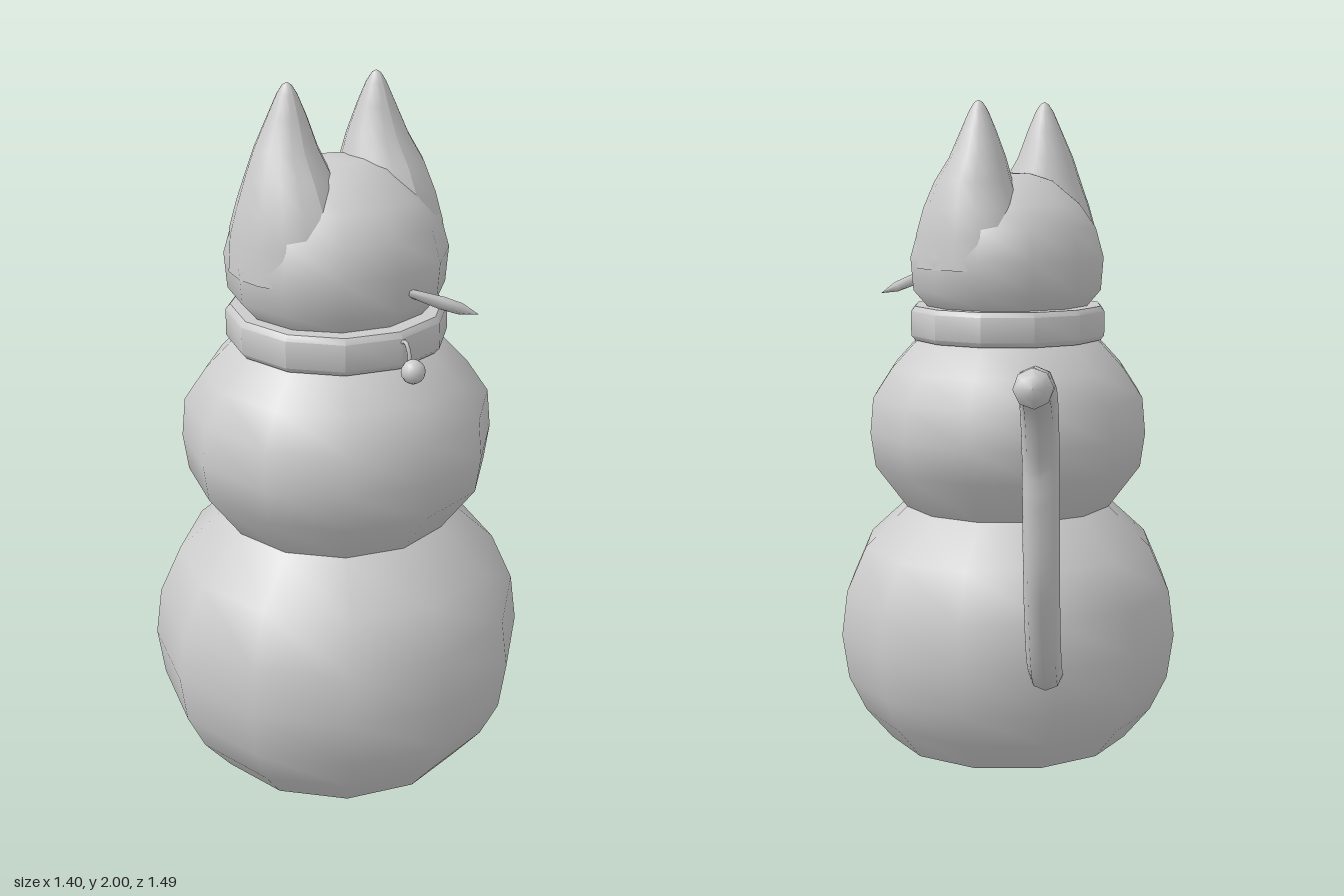
import * as THREE from 'three';
import { toCreasedNormals } from 'three/addons/utils/BufferGeometryUtils.js';

const SIDES = 12;
const CX = -0.17, CZ = 0.21; // axis of the stacked body

export function createModel() {
  const model = new THREE.Group();
  const material = new THREE.MeshStandardMaterial({ color: 0xcccccc });

  const add = (name, geometry, x = 0, y = 0, z = 0) => {
    const mesh = new THREE.Mesh(geometry, material);
    mesh.name = name;
    mesh.position.set(x, y, z);
    model.add(mesh);
    return mesh;
  };
  // Turned shape from [radius, height] pairs, bottom to top
  const turn = (profile, sides = SIDES) =>
    new THREE.LatheGeometry(profile.map(([r, y]) => new THREE.Vector2(r, y)), sides);

  // Lower and middle snowball-like body segments
  add('lowerBody', turn([
    [0.385, 0], [0.467, 0.1], [0.52, 0.21], [0.54, 0.35],
    [0.522, 0.49], [0.46, 0.63], [0.33, 0.75], [0.28, 0.79],
  ]), CX, 0, CZ);
  add('base', new THREE.CircleGeometry(0.385, SIDES).rotateX(Math.PI / 2), CX, 0, CZ);
  add('middleBody', turn([
    [0.29, 0.72], [0.325, 0.75], [0.425, 0.885], [0.44, 0.99],
    [0.43, 1.1], [0.37, 1.19], [0.3, 1.265], [0.24, 1.31],
  ]), CX, 0, CZ);

  // Collar ring with small bevels
  add('collar', toCreasedNormals(turn([
    [0.22, 1.275], [0.295, 1.275], [0.308, 1.29], [0.308, 1.365],
    [0.295, 1.38], [0.235, 1.38], [0.22, 1.275],
  ]), 0.7), CX, 0, CZ);

  // Head
  add('head', turn([
    [0.22, 1.34], [0.25, 1.38], [0.292, 1.43], [0.3, 1.53], [0.275, 1.62],
    [0.225, 1.69], [0.14, 1.76], [0.07, 1.782], [0, 1.785],
  ]), CX, 0, CZ).scale.x = 1.04;

  // Ears: elliptical sections [height, offset x, half width, offset z, half depth]
  const earSections = [
    [1.5, 0.15, 0.16, 0, 0.2], [1.6, 0.15, 0.155, 0, 0.19],
    [1.68, 0.15, 0.135, 0, 0.165], [1.76, 0.15, 0.112, -0.005, 0.125],
    [1.83, 0.147, 0.083, -0.02, 0.09], [1.91, 0.143, 0.052, -0.02, 0.056],
    [1.97, 0.142, 0.026, -0.02, 0.03], [1.993, 0.142, 0.012, -0.02, 0.014],
    [2.0, 0.142, 0.001, -0.02, 0.001],
  ];
  for (const side of [1, -1]) {
    const ear = turn(earSections.map((_, i) => [1, i]), 16);
    const p = ear.attributes.position;
    for (let i = 0; i < p.count; i++) {
      const [y, ox, w, oz, d] = earSections[Math.round(p.getY(i))];
      p.setXYZ(i, side * ox + p.getX(i) * w, y, oz + p.getZ(i) * d);
    }
    ear.computeVertexNormals();
    add(side > 0 ? 'leftEar' : 'rightEar', ear, CX, 0, CZ);
  }

  // Small pointed twig at the mouth
  const from = new THREE.Vector3(-0.14, 1.48, 0.485);
  const along = new THREE.Vector3(0.04, 1.405, 0.572).sub(from);
  const length = along.length();
  const twig = add('twig', turn([
    [0, 0], [0.01, 0], [0.018, length * 0.5], [0.016, length * 0.75], [0, length],
  ], 6), from.x, from.y, from.z);
  twig.quaternion.setFromUnitVectors(new THREE.Vector3(0, 1, 0), along.normalize());

  // Bell hanging from a thin hook on the collar
  add('bell', new THREE.SphereGeometry(0.033, 12, 8), CX, 1.287, 0.565);
  const hook = new THREE.CatmullRomCurve3([
    [CX, 1.35, 0.505], [CX, 1.358, 0.53], [CX, 1.335, 0.545], [CX, 1.305, 0.55],
  ].map((q) => new THREE.Vector3(...q)));
  add('bellHook', new THREE.TubeGeometry(hook, 8, 0.006, 6));

  // Curved tail, lying in one vertical plane that runs back and to the left
  const tailPoints = [
    [-0.23, 0.345], [-0.29, 0.4], [-0.35, 0.5], [-0.41, 0.7], [-0.435, 0.915],
    [-0.45, 1.05], [-0.51, 1.195], [-0.6, 1.27], [-0.695, 1.287],
  ].map(([z, y]) => new THREE.Vector3(0.345 + 1.14 * (-z - 0.435), y, z));
  const tail = new THREE.CatmullRomCurve3(tailPoints);
  add('tail', new THREE.TubeGeometry(tail, 32, 0.05, 8));

  // Blunt tapered tips close both ends of the tail
  const tip = (name, t, sign) => {
    const end = tail.getPointAt(t);
    const mesh = add(name, turn([[0.05, 0], [0.03, 0.035], [0, 0.04]], 8), end.x, end.y, end.z);
    mesh.quaternion.setFromUnitVectors(
      new THREE.Vector3(0, 1, 0), tail.getTangentAt(t).multiplyScalar(sign));
  };
  tip('tailTip', 1, 1);
  tip('tailRoot', 0, -1);

  return model;
}
